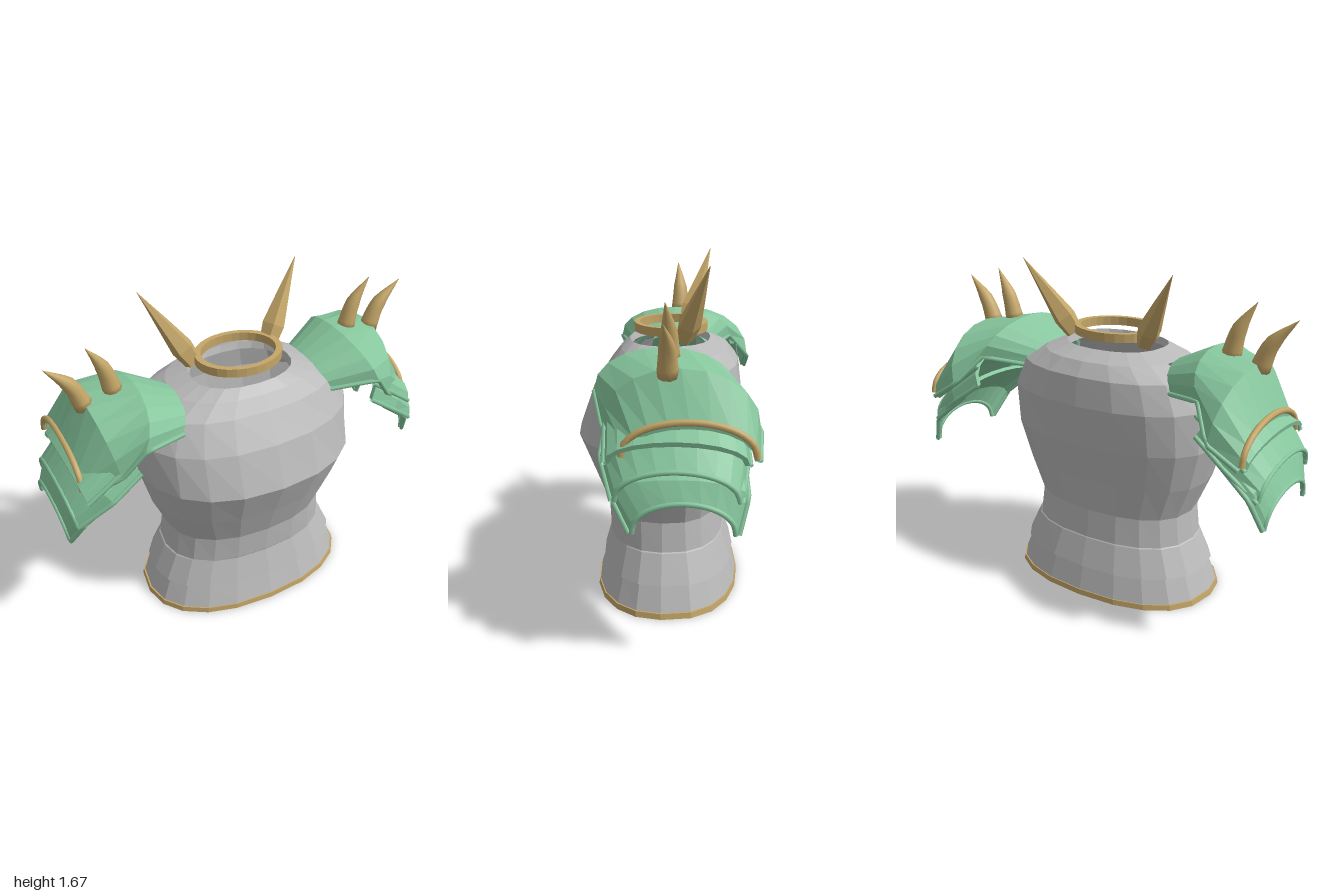
import * as THREE from 'three';

const mat = (name, color) => {
  const m = new THREE.MeshStandardMaterial({ color, side: THREE.DoubleSide });
  m.name = name;
  return m;
};

// Skin a list of closed rings of Vector3; skip(r, i) leaves a hole
function loft(rings, { caps = false, flat = true, skip = () => false } = {}) {
  const n = rings[0].length, pos = [], idx = [];
  rings.forEach(r => r.forEach(p => pos.push(p.x, p.y, p.z)));
  for (let r = 0; r < rings.length - 1; r++) {
    for (let i = 0; i < n; i++) {
      if (skip(r, i)) continue;
      const a = r * n + i, b = r * n + (i + 1) % n, c = b + n, d = a + n;
      idx.push(a, d, c, a, c, b);
    }
  }
  if (caps) {
    [0, rings.length - 1].forEach((r, e) => {
      for (let i = 0; i < n / 2 - 1; i++) {
        const a = r * n + i, b = a + 1, c = r * n + n - 2 - i, d = c + 1;
        if (e) idx.push(a, d, c, a, c, b); else idx.push(a, b, c, a, c, d);
      }
    });
  }
  let g = new THREE.BufferGeometry();
  g.setAttribute('position', new THREE.Float32BufferAttribute(pos, 3));
  g.setIndex(idx);
  if (flat) g = g.toNonIndexed();
  g.computeVertexNormals();
  return g;
}

// Rounded body cross-section, flatter at the back: height, half width, front z, back z
function bodyRing([y, a, f, b], n = 20) {
  return Array.from({ length: n }, (_, i) => {
    const t = i / n * Math.PI * 2, c = Math.cos(t), s = Math.sin(t);
    const x = a * Math.sign(c) * Math.abs(c) ** 0.87;
    return new THREE.Vector3(x, y, s > 0 ? f * s ** 0.9 : b * (-s) ** 0.8);
  });
}

// Arch from the front edge over the crown to the back edge
function arch({ top, edge, z }, side, inset = 0, n = 10) {
  const mid = (z[0] + z[1]) / 2, half = (z[0] - z[1]) / 2 - inset;
  const k = 1 - inset / Math.hypot(top[0] - edge[0], top[1] - edge[1]);
  return Array.from({ length: n + 1 }, (_, i) => {
    const t = i / n * Math.PI, h = Math.sin(t) ** 0.9 * k;
    return new THREE.Vector3(
      side * (edge[0] + (top[0] - edge[0]) * h),
      edge[1] + (top[1] - edge[1]) * h,
      mid + half * Math.cos(t));
  });
}

// Curved plate with thickness, skinned through arches
function plate(stations, side, thick = 0.022) {
  const rings = stations.map(s => [...arch(s, side), ...arch(s, side, thick).reverse()]);
  if (side < 0) rings.forEach(r => r.reverse());
  return loft(rings, { caps: true });
}

const rib = (station, side, r, inset = 0) => new THREE.TubeGeometry(
  new THREE.CatmullRomCurve3(arch(station, side, inset)), 24, r, 8);

// Thin rolled lip along the front (0) or back (1) edge of a plate
function lip(stations, side, end) {
  const path = new THREE.CurvePath();
  const pts = stations.map(s => new THREE.Vector3(side * s.edge[0], s.edge[1], s.z[end]));
  for (let i = 1; i < pts.length; i++) path.add(new THREE.LineCurve3(pts[i - 1], pts[i]));
  return new THREE.TubeGeometry(path, 12, 0.012, 6);
}

// Tapered horn along a curve; radii are spread evenly along it
function horn(points, radii, sides, steps, flat) {
  const curve = new THREE.CatmullRomCurve3(points);
  const frames = curve.computeFrenetFrames(steps);
  const rings = [];
  for (let i = 0; i <= steps; i++) {
    const u = i / steps, c = curve.getPointAt(u);
    const f = u * (radii.length - 1), k = Math.min(Math.floor(f), radii.length - 2);
    const r = radii[k] + (radii[k + 1] - radii[k]) * (f - k);
    rings.push(Array.from({ length: sides }, (_, j) => {
      const t = j / sides * Math.PI * 2;
      return c.clone().addScaledVector(frames.normals[i], r * Math.cos(t))
        .addScaledVector(frames.binormals[i], -r * Math.sin(t));
    }));
  }
  rings.unshift(rings[0].map(() => points[0].clone())); // closed base
  return loft(rings, { flat });
}

export function createModel() {
  const steel = mat('steel grey', 0xb9b9b9);
  const green = mat('plate green', 0x86c69d);
  const gold = mat('horn gold', 0xc4a668);
  const model = new THREE.Group();
  model.name = 'shoulderArmour';
  const add = (parent, name, geo, m) => {
    const mesh = new THREE.Mesh(geo, m);
    mesh.name = name;
    parent.add(mesh);
  };
  const v = (x, y, z) => new THREE.Vector3(x, y, z);

  // Breastplate with stepped skirt, neck opening and arm holes
  const rows = [
    [0.025, 0.555, 0.35, -0.37], [0.155, 0.505, 0.31, -0.335],
    [0.155, 0.525, 0.325, -0.35], [0.295, 0.46, 0.285, -0.302],
    [0.3, 0.453, 0.287, -0.298], [0.445, 0.435, 0.295, -0.28],
    [0.62, 0.51, 0.36, -0.305], [0.82, 0.565, 0.44, -0.35],
    [1.03, 0.562, 0.365, -0.378], [1.17, 0.495, 0.275, -0.36],
    [1.235, 0.37, 0.225, -0.31], [1.275, 0.26, 0.18, -0.22],
    [1.24, 0.25, 0.17, -0.21],
  ];
  // The two facets facing each side, just above the widest row
  const armHole = (r, i) => (r === 8 || r === 9) && [0, 9, 10, 19].includes(i);
  add(model, 'breastplate', loft(rows.map(r => bodyRing(r)), { skip: armHole }), steel);

  // Gold hem
  const hem = [[0.028, 0.54, 0.335, -0.355], [0, 0.545, 0.335, -0.355],
    [0, 0.567, 0.357, -0.377], [0.028, 0.562, 0.354, -0.374], [0.028, 0.54, 0.335, -0.355]];
  add(model, 'hem', loft(hem.map(r => bodyRing(r))), gold);

  // Floating neck ring
  const neck = [[1.312, 0.19, 0.155], [1.312, 0.222, 0.182], [1.355, 0.222, 0.182],
    [1.355, 0.19, 0.155], [1.312, 0.19, 0.155]];
  const neckRing = loft(neck.map(([y, a, d]) => Array.from({ length: 28 }, (_, i) => {
    const t = i / 28 * Math.PI * 2;
    return v(a * Math.cos(t), y, -0.023 + d * Math.sin(t));
  })));
  add(model, 'neckRing', neckRing, gold);

  // Shoulder plates: crown and edge as [x, y], then front and back z
  const shoulder = [
    { top: [0.355, 1.24], edge: [0.39, 1.125], z: [0.19, -0.21] },
    { top: [0.55, 1.335], edge: [0.63, 1.16], z: [0.285, -0.33] },
    { top: [0.79, 1.295], edge: [0.735, 1.02], z: [0.24, -0.44] },
    { top: [0.9, 1.09], edge: [0.885, 0.93], z: [0.15, -0.43] },
  ];
  const upperLame = [
    { top: [0.7, 1.22], edge: [0.64, 1.11], z: [0.235, -0.36] },
    { top: [0.925, 1.02], edge: [0.9, 0.915], z: [0.215, -0.39] },
  ];
  const middleLame = [
    { top: [0.72, 1.17], edge: [0.64, 1.01], z: [0.235, -0.36] },
    { top: [0.88, 1.03], edge: [0.79, 0.905], z: [0.245, -0.385] },
    { top: [0.97, 0.915], edge: [0.95, 0.77], z: [0.18, -0.36] },
  ];
  const lowerLame = [
    { top: [0.8, 0.99], edge: [0.73, 0.94], z: [0.225, -0.365] },
    { top: [0.96, 0.87], edge: [0.92, 0.785], z: [0.19, -0.385] },
    { top: [0.995, 0.79], edge: [0.978, 0.64], z: [0.108, -0.347] },
  ];
  const rim = { top: [0.898, 1.095], edge: [0.898, 0.945], z: [0.145, -0.42] };

  for (const side of [1, -1]) {
    const arm = new THREE.Group();
    arm.name = side > 0 ? 'leftPauldron' : 'rightPauldron';
    model.add(arm);
    for (const [name, stations] of Object.entries({ shoulder, upperLame, middleLame, lowerLame })) {
      add(arm, name + 'Plate', plate(stations, side), green);
      add(arm, name + 'FrontLip', lip(stations, side, 0), green);
      add(arm, name + 'BackLip', lip(stations, side, 1), green);
    }
    add(arm, 'middleLameRib', rib(middleLame[2], side, 0.012, 0.01), green);
    add(arm, 'lowerLameRib', rib(lowerLame[2], side, 0.012, 0.012), green);
    add(arm, 'shoulderRim', rib(rim, side, 0.015), gold);

    // Curved horns on the shoulder
    add(arm, 'outerHorn', horn([v(side * 0.785, 1.265, -0.045), v(side * 0.835, 1.385, -0.045),
      v(side * 0.95, 1.505, -0.035)], [0.048, 0.035, 0.001], 10, 8, false), gold);
    add(arm, 'innerHorn', horn([v(side * 0.64, 1.3, -0.045), v(side * 0.675, 1.43, -0.045),
      v(side * 0.752, 1.56, -0.032)], [0.048, 0.035, 0.001], 10, 8, false), gold);

    // Straight faceted spike on the neck ring
    add(model, side > 0 ? 'leftNeckSpike' : 'rightNeckSpike',
      horn([v(side * 0.207, 1.305, -0.095), v(side * 0.314, 1.488, -0.155), v(side * 0.424, 1.672, -0.215)],
        [0.046, 0.058, 0.044, 0.03, 0.015, 0.001], 5, 5, true), gold);
  }
  return model;
}
